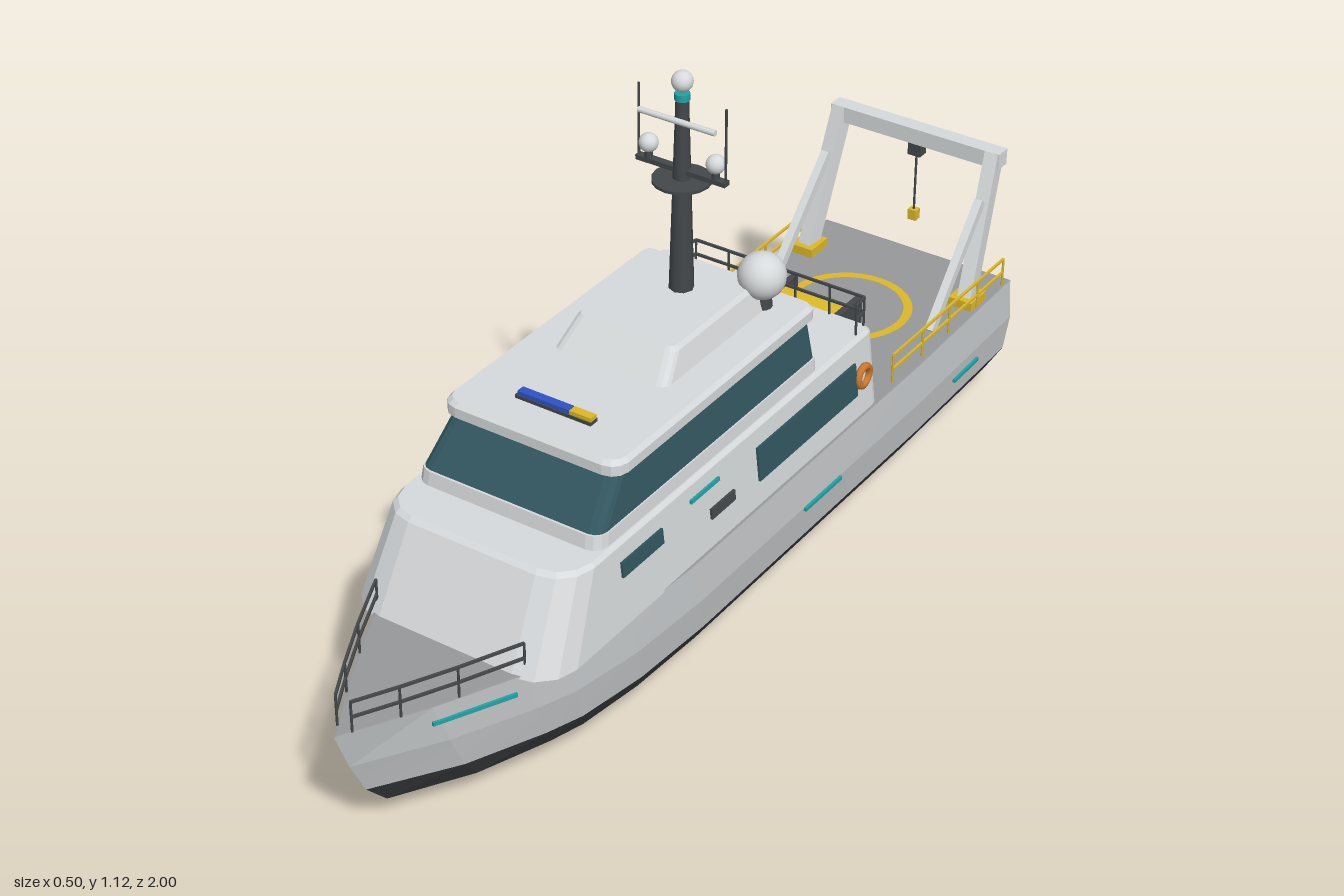
import * as THREE from 'three';
import { toCreasedNormals } from 'three/addons/utils/BufferGeometryUtils.js';

const V = (x, y, z) => new THREE.Vector3(x, y, z);

// Hull levels: height, half width, bow z, stern z, fullness exponent
const LEVELS = [
  [0, 0.06, 0.72, -0.9, 0.8],
  [0.06, 0.197, 0.87, -0.975, 0.8],
  [0.12, 0.234, 0.925, -0.995, 0.85],
  [0.2, 0.245, 0.965, -1, 0.92],
  [0.29, 0.24, 1, -1, 1],
];
// Plan outline: fraction of length from bow, fraction of half width
const PLAN = [[0, 0], [0.08, 0.38], [0.16, 0.7], [0.2, 0.83], [0.28, 0.95], [0.38, 1], [0.8, 1], [1, 0.96]];

function hullX(y, z) {
  const i = Math.min(LEVELS.length - 2, Math.max(0, LEVELS.findIndex(l => l[0] > y) - 1));
  const a = y >= 0.29 ? LEVELS[4] : LEVELS[i], b = y >= 0.29 ? LEVELS[4] : LEVELS[i + 1];
  const k = b === a ? 0 : (y - a[0]) / (b[0] - a[0]);
  const [, w, bow, stern, e] = a.map((v, j) => v + (b[j] - v) * k);
  const t = THREE.MathUtils.clamp((bow - z) / (bow - stern), 0, 1);
  const n = Math.max(1, PLAN.findIndex(p => p[0] >= t));
  const [p, q] = [PLAN[n - 1], PLAN[n]];
  const [fp, fq] = [p[1] ** e, q[1] ** e];
  return w * (fp + (fq - fp) * (t - p[0]) / (q[0] - p[0]));
}

function hullRing([y, w, bow, stern, e]) {
  const side = PLAN.map(([t, f]) => V(w * f ** e, y, bow + (stern - bow) * t));
  return [...side, ...side.slice(1).reverse().map(p => V(-p.x, y, p.z))];
}

// Rounded rectangle in plan, with separate front and rear corner radii
function roundRing(y, w, zf, zb, rf, rb, n = 3) {
  const pts = [];
  for (const [sx, sz, start] of [[1, 1, 0], [1, -1, 1], [-1, -1, 2], [-1, 1, 3]]) {
    const r = sz > 0 ? rf : rb, cz = sz > 0 ? zf - r : zb + r;
    for (let i = 0; i <= n; i++) {
      const a = (start + i / n) * Math.PI / 2;
      pts.push(V(sx * (w - r) + Math.sin(a) * r, y, cz + Math.cos(a) * r));
    }
  }
  return pts;
}

// Skin over stacked rings, optionally capped at both ends
function loft(rings, bottom = true, top = true, crease = 0.05) {
  const pos = [], tri = (...ps) => ps.forEach(p => pos.push(p.x, p.y, p.z));
  const n = rings[0].length;
  const centre = r => r.reduce((s, p) => s.add(p), V(0, 0, 0)).divideScalar(n);
  const first = rings[0], last = rings[rings.length - 1];
  for (let i = 0; i < n; i++) {
    const j = (i + 1) % n;
    for (let k = 0; k + 1 < rings.length; k++) {
      const a = rings[k], b = rings[k + 1];
      tri(a[i], a[j], b[j]);
      tri(a[i], b[j], b[i]);
    }
    if (bottom) tri(centre(first), first[j], first[i]);
    if (top) tri(centre(last), last[i], last[j]);
  }
  const g = new THREE.BufferGeometry();
  g.setAttribute('position', new THREE.Float32BufferAttribute(pos, 3));
  return toCreasedNormals(g, crease);
}

export function createModel() {
  const root = new THREE.Group();
  root.name = 'researchShip';
  const mat = (name, color) => Object.assign(new THREE.MeshStandardMaterial({ color }), { name });
  const hullGrey = mat('hullGrey', 0xc5c8ca), white = mat('houseWhite', 0xd7dadc);
  const deckGrey = mat('deckGrey', 0x97989b), keelDark = mat('keelDark', 0x3c3e41);
  const metal = mat('darkMetal', 0x44484b), glass = mat('glass', 0x32565f);
  const yellow = mat('yellow', 0xdcb827), blue = mat('blue', 0x2f52c4);
  const cyan = mat('cyan', 0x22a3a5), orange = mat('orange', 0xcb7a30);

  const add = (name, geo, m, x = 0, y = 0, z = 0) => {
    const mesh = new THREE.Mesh(geo, m);
    mesh.name = name;
    mesh.position.set(x, y, z);
    root.add(mesh);
    return mesh;
  };
  const box = (name, m, w, h, d, x, y, z) => add(name, new THREE.BoxGeometry(w, h, d), m, x, y, z);
  const ball = (name, r, x, y, z) => add(name, new THREE.SphereGeometry(r, 20, 14), white, x, y, z);
  const rod = (name, m, rt, rb, h, x, y, z, n = 12) =>
    add(name, new THREE.CylinderGeometry(rt, rb, h, n), m, x, y, z);
  // Square bar running from one point to another
  const beam = (name, m, a, b, w, h = w) => {
    const mid = a.clone().add(b).multiplyScalar(0.5);
    box(name, m, w, h, a.distanceTo(b), mid.x, mid.y, mid.z).lookAt(b);
  };
  // Posts with two horizontal rails
  const railing = (name, m, pts, h) => pts.forEach((p, i) => {
    rod(name + 'Post', m, 0.0025, 0.0025, h, p.x, p.y + h / 2, p.z, 6);
    if (i) for (const k of [0.5, 1])
      beam(name + 'Bar', m, V(0, h * k, 0).add(pts[i - 1]), V(0, h * k, 0).add(p), 0.005);
  });

  // Hull and deck
  const rings = LEVELS.map(hullRing);
  add('lowerHull', loft(rings.slice(0, 3), true, false), keelDark);
  add('upperHull', loft(rings.slice(2), false, false), hullGrey);
  add('deck', loft([rings[4], rings[4].map(p => V(p.x * 0.98, 0.2905, p.z * 0.995))], false), deckGrey);

  // Main deckhouse, bridge and top house
  add('deckhouse', loft([
    roundRing(0.285, 0.235, 0.69, -0.44, 0.085, 0.02),
    roundRing(0.452, 0.217, 0.6, -0.44, 0.075, 0.02),
    roundRing(0.46, 0.21, 0.59, -0.433, 0.07, 0.016)]), white);
  add('bridgeBase', loft([
    roundRing(0.46, 0.207, 0.497, -0.245, 0.03, 0.015),
    roundRing(0.488, 0.205, 0.492, -0.245, 0.03, 0.015)]), white);
  add('bridgeWindows', loft([
    roundRing(0.488, 0.202, 0.487, -0.24, 0.025, 0.012),
    roundRing(0.578, 0.187, 0.405, -0.235, 0.025, 0.012)]), glass);
  add('bridgeRoof', loft([
    roundRing(0.575, 0.199, 0.425, -0.248, 0.035, 0.02),
    roundRing(0.596, 0.199, 0.425, -0.248, 0.035, 0.02),
    roundRing(0.605, 0.191, 0.416, -0.24, 0.03, 0.016)]), white);
  add('topHouse', loft([
    roundRing(0.605, 0.128, 0.17, -0.19, 0.02, 0.015),
    roundRing(0.652, 0.115, 0.123, -0.183, 0.02, 0.015),
    roundRing(0.66, 0.108, 0.115, -0.176, 0.016, 0.012)]), white);

  // Roof light bar
  box('lightBarBase', metal, 0.17, 0.008, 0.022, 0, 0.608, 0.335);
  box('blueLight', blue, 0.115, 0.011, 0.018, -0.023, 0.615, 0.335);
  box('amberLight', yellow, 0.048, 0.011, 0.018, 0.06, 0.615, 0.335);

  // Satellite dome
  rod('domePedestal', metal, 0.018, 0.022, 0.04, 0.115, 0.622, -0.18);
  ball('satelliteDome', 0.048, 0.115, 0.672, -0.18);

  // Mast with yard, radar and aerials
  const mz = -0.075;
  rod('mast', metal, 0.013, 0.025, 0.405, 0, 0.86, mz, 8);
  rod('mastPlatform', metal, 0.058, 0.058, 0.006, 0, 0.895, mz, 16);
  box('mastYard', metal, 0.2, 0.01, 0.016, 0, 0.915, mz);
  rod('radarBar', white, 0.006, 0.006, 0.17, 0, 1.025, mz + 0.018).rotation.z = Math.PI / 2;
  rod('mastLight', cyan, 0.015, 0.015, 0.014, 0, 1.069, mz, 12);
  ball('mastTopDome', 0.021, 0, 1.1, mz);
  for (const s of [-1, 1]) {
    rod('yardStem', metal, 0.008, 0.008, 0.02, s * 0.075, 0.927, mz);
    ball('yardDome', 0.019, s * 0.075, 0.95, mz);
    rod('whipAerial', metal, 0.0025, 0.0025, 0.155, s * 0.097, 0.992, mz, 6);
  }

  // Deckhouse side details, hull marks and side rails
  for (const s of [-1, 1]) {
    const plate = (name, m, z0, z1, y0, y1) => {
      const y = (y0 + y1) / 2;
      box(name, m, 0.008, y1 - y0, z1 - z0, s * (0.236 - 0.108 * (y - 0.285)), y, (z0 + z1) / 2)
        .rotation.z = s * 0.108;
    };
    plate('forwardWindow', glass, 0.32, 0.45, 0.388, 0.42);
    plate('longWindow', glass, -0.36, 0, 0.342, 0.415);
    plate('vent', metal, 0.085, 0.165, 0.35, 0.372);
    plate('houseStripe', cyan, 0.13, 0.225, 0.417, 0.425);
    add('lifeRing', new THREE.TorusGeometry(0.021, 0.008, 8, 20), orange, s * 0.23, 0.375, -0.385)
      .rotation.y = Math.PI / 2;
    for (const [z0, z1, y] of [[0.84, 0.69, 0.253], [-0.145, -0.28, 0.197], [-0.75, -0.855, 0.17]])
      beam('hullStripe', cyan, V(s * (hullX(y, z0) + 0.002), y, z0), V(s * (hullX(y, z1) + 0.002), y, z1), 0.008);
    railing('aftRail', yellow, [-0.51, -0.63, -0.74, -0.86, -0.97].map(z => V(s * 0.226, 0.29, z)), 0.066);
    railing('bowRail', metal, [0.97, 0.89, 0.79, 0.67].map(z => V(s * hullX(0.29, z) * 0.97, 0.29, z)), 0.066);
    // Stern gantry legs, feet and braces
    box('gantryFoot', yellow, 0.055, 0.02, 0.065, s * 0.197, 0.3, -0.87);
    beam('gantryLeg', white, V(s * 0.197, 0.3, -0.868), V(s * 0.185, 0.6, -0.975), 0.03, 0.038);
    beam('gantryBrace', white, V(s * 0.192, 0.292, -0.722), V(s * 0.188, 0.51, -0.918), 0.018, 0.02);
  }
  railing('upperRail', metal, [
    V(-0.205, 0.46, -0.39), ...[-0.2, -0.12, -0.04, 0.04, 0.12, 0.2].map(x => V(x, 0.46, -0.428)),
    V(0.205, 0.46, -0.39)], 0.066);

  // Gantry crossbar and hanging hook
  box('gantryCrossbar', white, 0.41, 0.036, 0.036, 0, 0.588, -0.976);
  box('hookPulley', metal, 0.03, 0.032, 0.026, 0, 0.555, -0.976);
  rod('hookCable', metal, 0.0025, 0.0025, 0.15, 0, 0.47, -0.976, 6);
  box('hookBlock', yellow, 0.02, 0.024, 0.018, 0, 0.392, -0.976);

  // Winch and painted deck circle
  rod('winchDrum', yellow, 0.042, 0.042, 0.15, 0, 0.345, -0.57, 20).rotation.z = Math.PI / 2;
  box('winchBed', metal, 0.16, 0.02, 0.09, 0, 0.3, -0.57);
  for (const s of [-1, 1]) box('winchFrame', metal, 0.014, 0.1, 0.1, s * 0.078, 0.34, -0.57);
  add('deckCircle', new THREE.RingGeometry(0.117, 0.136, 40), yellow, 0, 0.2935, -0.71)
    .rotation.x = -Math.PI / 2;

  return root;
}
